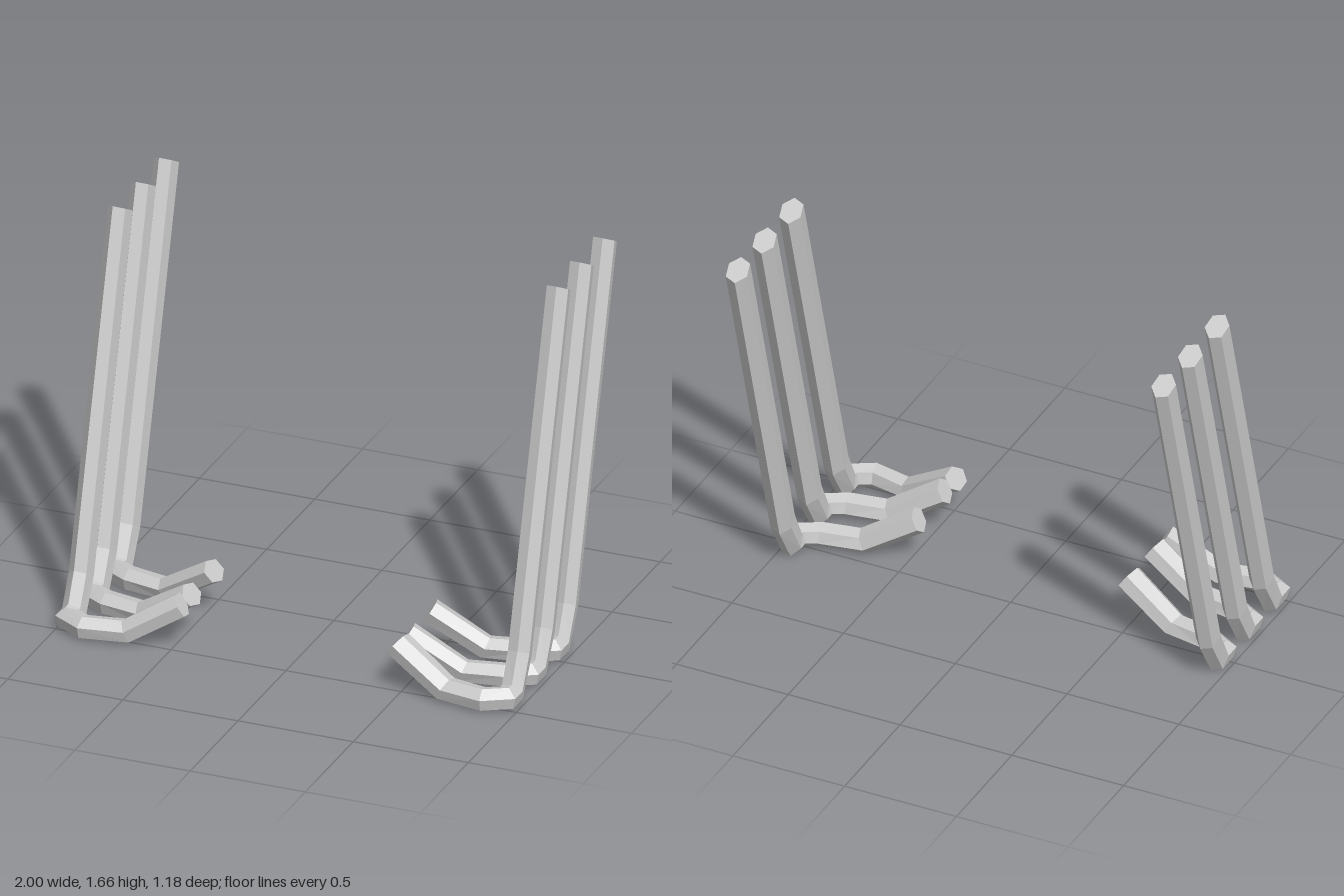
import * as THREE from 'three';

const SIDES = 6;
const PHASE = THREE.MathUtils.degToRad(17);

// Cross-sections of one bent tube on the -x side: centre c, half-axes u and v.
// dz shifts the tube along z, slope sets how the inner foot swings forward.
function tubeSections(dz, slope) {
  const z = 0.53 + dz;
  return [
    { c: [-0.47, 0.195, z + 0.396 * slope], u: [-0.06 * slope, 0, 0.06], v: [-0.028, 0.045, 0] },
    { c: [-0.692, 0.056, z + 0.174 * slope], u: [-0.055 * slope, 0, 0.055], v: [-0.022, 0.047, 0] },
    { c: [-0.866, 0.056, z], u: [-0.008, 0, 0.055], v: [0, 0.05, 0] },
    { c: [-0.952, 0.056, z - 0.048], u: [-0.049, 0, 0.028], v: [0, 0.05, 0] },
    { c: [-0.952, 0.056, z - 0.105], u: [-0.05, 0, 0], v: [0, 0.05, 0.032] },
    { c: [-0.952, 0.197, z - 0.183], u: [-0.05, 0, 0], v: [0, 0.03, 0.053] },
    { c: [-0.952, 1.641, z - 0.588], u: [-0.05, 0, 0], v: [0, 0.03, 0.053] },
  ];
}

// Skin the sections with flat facets and close both ends; side = -1 or +1.
function tubeGeometry(sections, side) {
  const rings = sections.map(({ c, u, v }) =>
    Array.from({ length: SIDES }, (_, k) => {
      const a = PHASE + (k / SIDES) * Math.PI * 2;
      const p = c.map((n, i) => n + u[i] * Math.cos(a) + v[i] * Math.sin(a));
      return [-side * p[0], p[1], p[2]];
    }));
  const positions = [];
  const tri = (a, b, c) => positions.push(...a, ...(side < 0 ? [...b, ...c] : [...c, ...b]));

  for (let i = 0; i < rings.length - 1; i++) {
    for (let j = 0; j < SIDES; j++) {
      const k = (j + 1) % SIDES;
      tri(rings[i][j], rings[i][k], rings[i + 1][k]);
      tri(rings[i][j], rings[i + 1][k], rings[i + 1][j]);
    }
  }
  const first = rings[0];
  const last = rings[rings.length - 1];
  for (let j = 1; j < SIDES - 1; j++) {
    tri(first[0], first[j + 1], first[j]);
    tri(last[0], last[j], last[j + 1]);
  }
  const geometry = new THREE.BufferGeometry();
  geometry.setAttribute('position', new THREE.Float32BufferAttribute(positions, 3));
  geometry.computeVertexNormals();
  return geometry;
}

export function createModel() {
  const model = new THREE.Group();
  model.name = 'bentPipes';
  const material = new THREE.MeshStandardMaterial({ color: 0xcccccc, flatShading: true });

  // The front pipe swings backward at its inner end, the others forward.
  const pipes = [
    { name: 'Front', dz: 0, slope: -0.187 },
    { name: 'Middle', dz: -0.242, slope: 0.17 },
    { name: 'Rear', dz: -0.483, slope: 0.187 },
  ];
  for (const side of [-1, 1]) {
    const bank = new THREE.Group();
    bank.name = side < 0 ? 'rightPipes' : 'leftPipes';
    for (const { name, dz, slope } of pipes) {
      // mirror: side -1 keeps x as written, +1 flips it
      const mesh = new THREE.Mesh(tubeGeometry(tubeSections(dz, slope), side), material);
      mesh.name = (side < 0 ? 'right' : 'left') + name + 'Pipe';
      bank.add(mesh);
    }
    model.add(bank);
  }
  return model;
}
